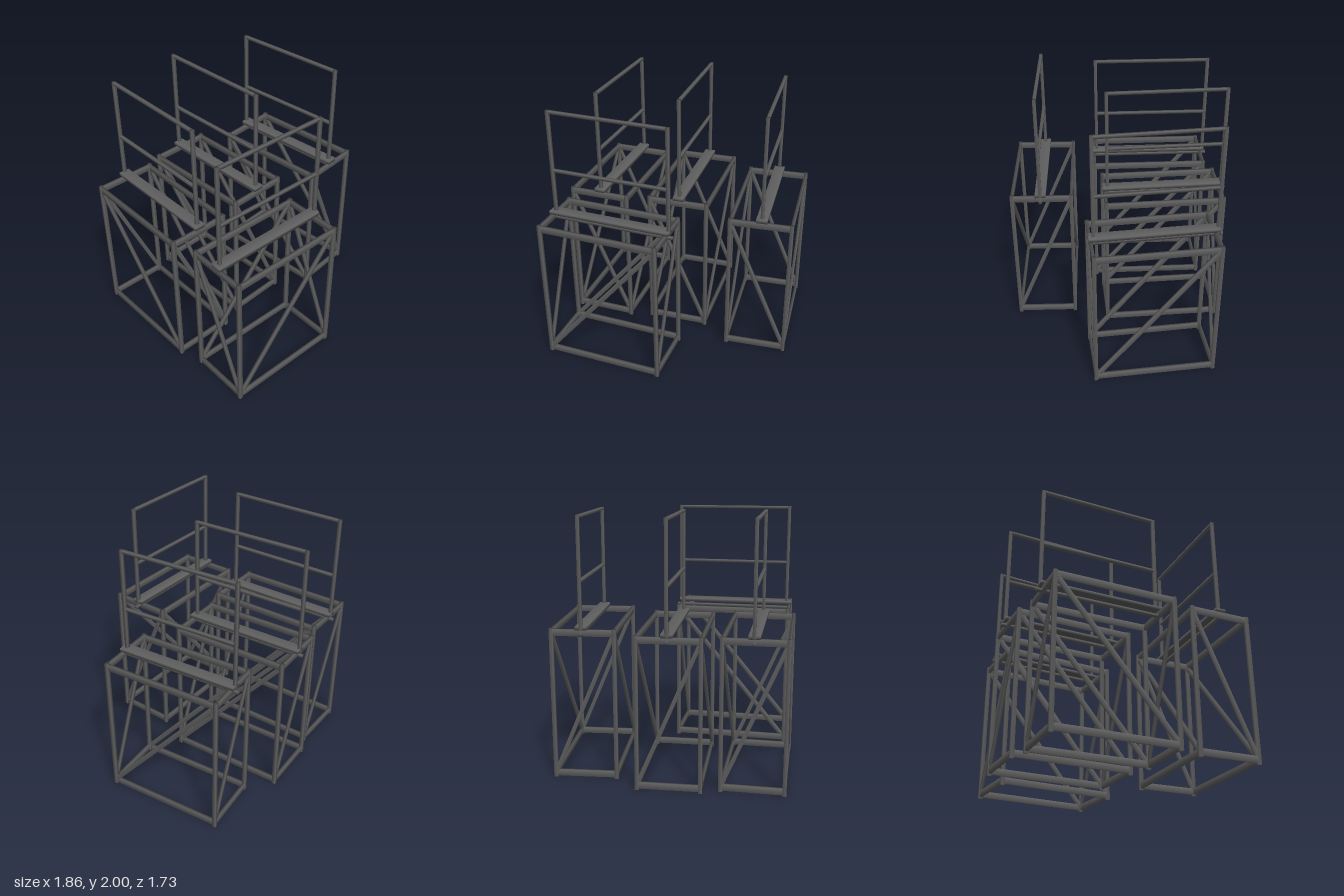
import * as THREE from 'three';
import { mergeVertices } from 'three/addons/utils/BufferGeometryUtils.js';

const material = new THREE.MeshStandardMaterial({ color: 0x606060 });

// Box bar with softened normals
function softBox(w, h, l) {
  const box = new THREE.BoxGeometry(w, h, l);
  box.deleteAttribute('normal');
  box.deleteAttribute('uv');
  const geometry = mergeVertices(box);
  geometry.computeVertexNormals();
  return geometry;
}

// Bar running between two points, w across and h tall
function bar(group, name, a, b, w, h) {
  const start = new THREE.Vector3(...a), end = new THREE.Vector3(...b);
  const mesh = new THREE.Mesh(softBox(w, h, start.distanceTo(end)), material);
  mesh.name = name;
  mesh.position.copy(start).add(end).multiplyScalar(0.5);
  if (Math.abs(start.x - end.x) + Math.abs(start.z - end.z) < 1e-6) mesh.rotation.x = Math.PI / 2;
  else mesh.lookAt(end);
  group.add(mesh);
}

const X = 0.235, Z = 0.4625; // half spacing of the posts
const LOW = 0.035, HIGH = 1.14; // heights of the rails
const MID = 0.007; // sideways position of plank and guard rail

// One braced frame with a walking plank and a guard rail
function createTower() {
  const tower = new THREE.Group();
  tower.name = 'scaffoldTower';

  for (const sx of [-1, 1]) {
    for (const sz of [-1, 1]) {
      bar(tower, 'cornerPost', [sx * X, 0, sz * Z], [sx * X, 1.17, sz * Z], 0.029, 0.029);
    }
  }
  for (const y of [LOW, HIGH]) {
    for (const s of [-1, 1]) {
      bar(tower, 'longRail', [s * X, y, -Z], [s * X, y, Z], 0.021, 0.05);
      bar(tower, 'endRail', [-X, y, s * Z], [X, y, s * Z], 0.021, 0.05);
    }
  }

  // Diagonal braces, parallel on opposite sides
  for (const s of [-1, 1]) {
    bar(tower, 'longBrace', [s * X, LOW, Z], [s * X, HIGH, -Z], 0.021, 0.035);
    bar(tower, 'endBrace', [X, LOW, s * Z], [-X, HIGH, s * Z], 0.021, 0.03);
  }

  // Plank and the bearer beneath it
  bar(tower, 'plank', [MID, 1.179, -0.495], [MID, 1.179, 0.478], 0.086, 0.027);
  bar(tower, 'plankBearer', [MID, 1.134, -0.517], [MID, 1.134, Z], 0.023, 0.023);

  // Guard rail
  const front = 0.44, back = -0.485;
  for (const z of [front, back]) bar(tower, 'guardPost', [MID, 1.17, z], [MID, 2, z], 0.025, 0.025);
  for (const y of [1.525, 1.988]) bar(tower, 'guardRail', [MID, y, back], [MID, y, front], 0.023, 0.023);
  return tower;
}

export function createModel() {
  const model = new THREE.Group();
  model.name = 'scaffoldTowers';
  // x, z, turn of each tower
  const places = [
    [-0.68, -0.285, 0],
    [-0.05, -0.35, 0.041],
    [0.638, -0.22, 0.0875],
    [-0.4, 0.606, -1.59],
  ];
  for (const [x, z, turn] of places) {
    const tower = createTower();
    tower.position.set(x, 0, z);
    tower.rotation.y = turn;
    model.add(tower);
  }
  return model;
}
